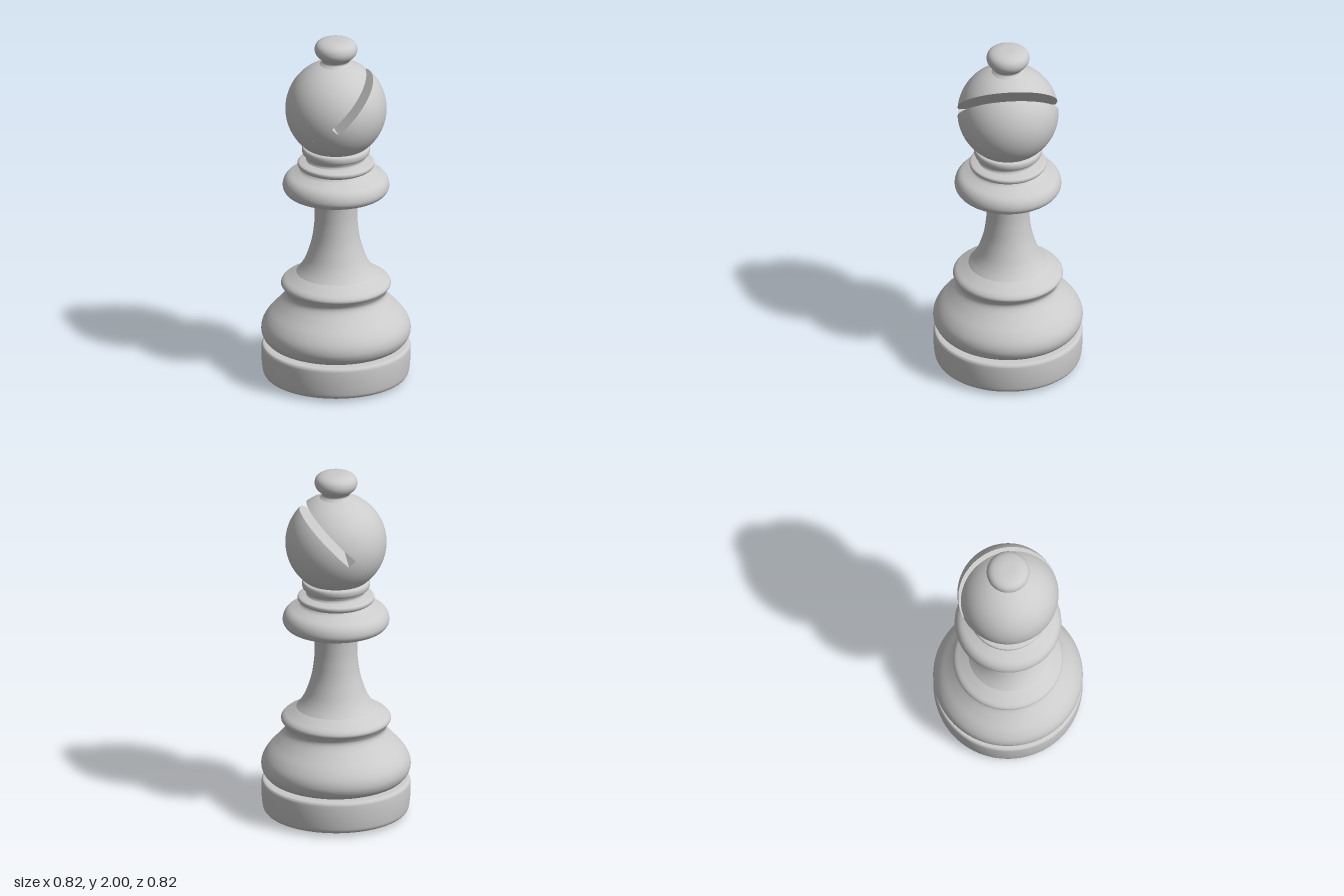
import * as THREE from 'three';

const material = new THREE.MeshStandardMaterial({ color: 0xcccccc });

function part(name, geometry, parent) {
  const mesh = new THREE.Mesh(geometry, material);
  mesh.name = name;
  parent.add(mesh);
  return mesh;
}

// Turned part: smooth profile of [radius, height] points, from bottom to top
function turned(name, points, parent, steps = 6) {
  const curve = new THREE.SplineCurve(points.map(([r, y]) => new THREE.Vector2(r, y)));
  const profile = curve.getPoints((points.length - 1) * steps);
  profile.forEach((p) => { p.x = Math.max(p.x, 0); });
  return part(name, new THREE.LatheGeometry(profile, 96), parent);
}

// Grid surface: maps (s, t) in 0..1 to a point
function surface(fn, cols, rows) {
  const geometry = new THREE.PlaneGeometry(1, 1, cols, rows);
  const { position, uv } = geometry.attributes;
  for (let i = 0; i < position.count; i++) {
    position.setXYZ(i, ...fn(uv.getX(i), uv.getY(i)));
  }
  geometry.computeVertexNormals();
  return geometry;
}

// Ball with a straight slot. In the ball's own frame the slot lies between
// y = v1 and y = v2, and runs from the floor at x = floor outwards.
function slottedBall(R, v1, v2, floor) {
  const ball = new THREE.Group();
  ball.name = 'head';
  const t1 = Math.acos(v1 / R);
  const t2 = Math.acos(v2 / R);
  part('headUpperHalf', new THREE.SphereGeometry(R, 96, 32, 0, Math.PI * 2, 0, t2), ball);
  part('headLowerHalf', new THREE.SphereGeometry(R, 96, 32, 0, Math.PI * 2, t1, Math.PI - t1), ball);

  // Uncut strip of the ball behind the slot
  const strip = surface((s, t) => {
    const v = v1 + (v2 - v1) * t;
    const r = Math.sqrt(R * R - v * v);
    const a = Math.acos(floor / r);
    const phi = 2 * Math.PI - a - s * (2 * Math.PI - 2 * a);
    return [r * Math.cos(phi), v, r * Math.sin(phi)];
  }, 64, 6);
  const p = strip.attributes.position;
  for (let i = 0; i < p.count; i++) {
    strip.attributes.normal.setXYZ(i, p.getX(i) / R, p.getY(i) / R, p.getZ(i) / R);
  }
  part('headStrip', strip, ball);

  // Slot floor
  part('slotFloor', surface((s, t) => {
    const v = v1 + (v2 - v1) * t;
    const h = Math.sqrt(R * R - v * v - floor * floor);
    return [floor, v, h * (1 - 2 * s)];
  }, 1, 6), ball);

  // Two flat slot walls facing each other
  for (const [v, turn] of [[v1, -1], [v2, 1]]) {
    const r = Math.sqrt(R * R - v * v);
    const a = Math.acos(floor / r);
    const shape = new THREE.Shape();
    shape.absarc(0, 0, r, -a, a, false);
    const wall = new THREE.ShapeGeometry(shape, 80);
    wall.rotateX(turn * Math.PI / 2);
    wall.translate(0, v, 0);
    part('slotWall', wall, ball);
  }
  return ball;
}

export function createModel() {
  const model = new THREE.Group();
  model.name = 'chessPiece';

  // Foot
  part('footUnderside', new THREE.CircleGeometry(0.2, 96).rotateX(Math.PI / 2), model);
  turned('foot', [
    [0.2, 0], [0.3, 0.006], [0.375, 0.014], [0.398, 0.028], [0.406, 0.06], [0.411, 0.12],
    [0.411, 0.175], [0.407, 0.192], [0.395, 0.2], [0.35, 0.203],
  ], model);

  // Swelling body with upper ridge
  turned('body', [
    [0.35, 0.203], [0.378, 0.217], [0.4, 0.242], [0.412, 0.28], [0.405, 0.325], [0.375, 0.375],
    [0.325, 0.43], [0.288, 0.475], [0.278, 0.503], [0.288, 0.527], [0.303, 0.552],
    [0.292, 0.575], [0.258, 0.597], [0.218, 0.622],
  ], model);

  // Flared stem
  turned('stem', [
    [0.218, 0.622], [0.19, 0.66], [0.163, 0.715], [0.134, 0.81], [0.12, 0.91],
    [0.118, 0.99], [0.122, 1.05], [0.135, 1.076],
  ], model);

  // Wide collar
  turned('collar', [
    [0.135, 1.076], [0.22, 1.085], [0.268, 1.094], [0.289, 1.115], [0.294, 1.14],
    [0.286, 1.17], [0.265, 1.195], [0.225, 1.215], [0.2, 1.228], [0.19, 1.24],
  ], model);

  // Two narrow rings with a neck between them
  turned('lowerRing', [
    [0.19, 1.24], [0.206, 1.25], [0.212, 1.263], [0.207, 1.276], [0.18, 1.284], [0.165, 1.288],
  ], model);
  turned('neck', [[0.165, 1.288], [0.16, 1.3], [0.165, 1.316]], model);
  turned('upperRing', [
    [0.165, 1.316], [0.182, 1.325], [0.188, 1.343], [0.186, 1.36], [0.175, 1.368], [0.14, 1.372],
  ], model);

  // Ball head, tilted so the slot opens up to the model's left
  const head = slottedBall(0.279, -0.005, 0.046, -0.068);
  head.position.y = 1.59;
  head.rotation.z = Math.PI / 4;
  model.add(head);

  // Flattened knob on a short flared neck
  turned('knob', [
    [0.1, 1.845], [0.082, 1.862], [0.076, 1.874], [0.086, 1.889], [0.108, 1.91], [0.118, 1.938],
    [0.112, 1.967], [0.09, 1.987], [0.05, 1.998], [0, 2],
  ], model);

  return model;
}
